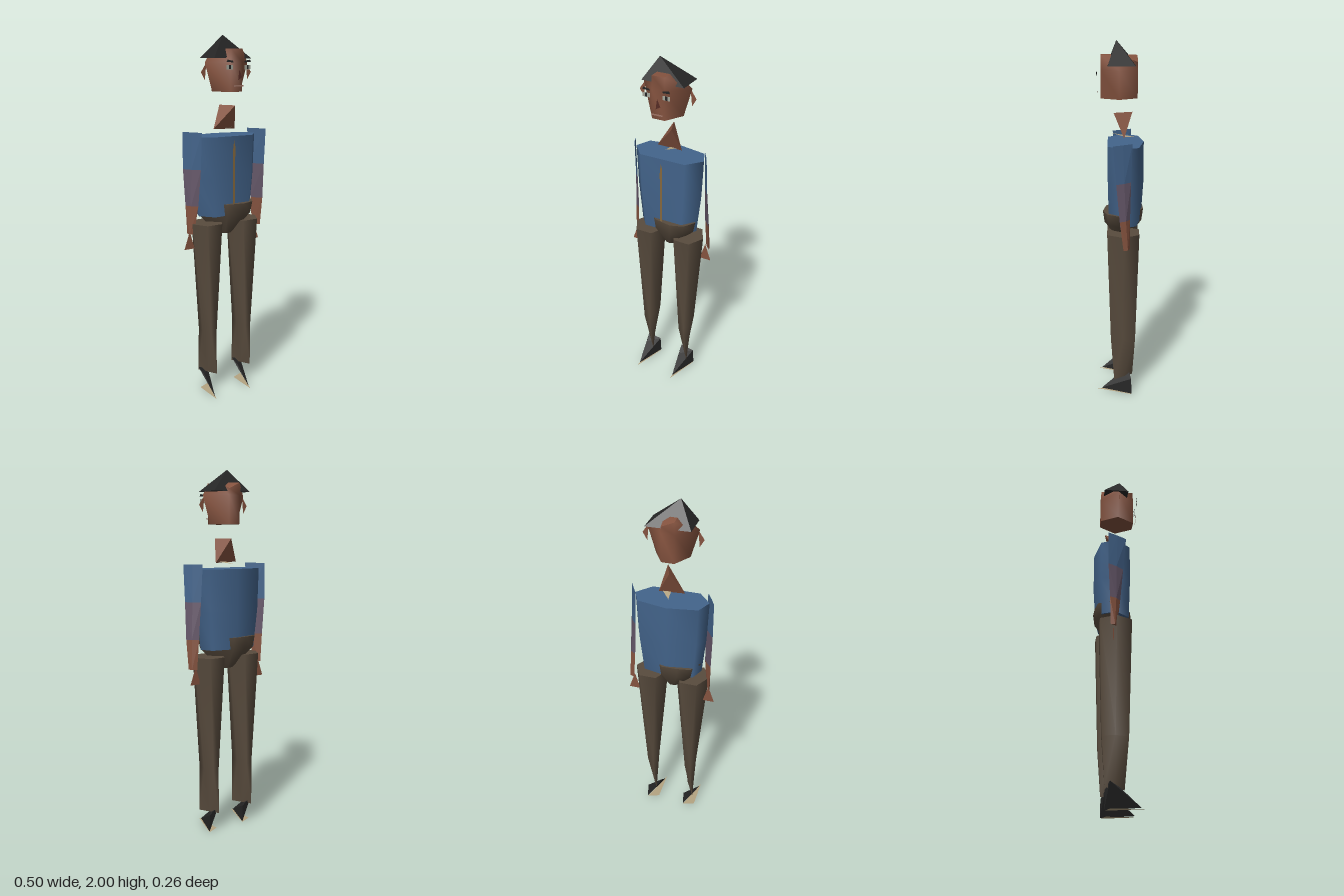
import * as THREE from 'three';
import { ConvexGeometry } from 'three/addons/geometries/ConvexGeometry.js';

const paint = (name, color) =>
  new THREE.MeshStandardMaterial({ name, color, side: THREE.DoubleSide });

export function createModel() {
  const model = new THREE.Group();
  const skin = paint('skin', 0x85533f);
  const shirt = paint('shirt blue', 0x43648b);
  const blend = paint('sleeve blend', 0x655769);
  const trousers = paint('trouser brown', 0x594c3e);
  const dark = paint('hair and shoe black', 0x262626);
  const cream = paint('sole cream', 0xb5a482);
  const tan = paint('placket tan', 0x85673c);
  const eyeGrey = paint('eye grey', 0xa4a79b);
  const noseRed = paint('nose shade', 0x552c24);
  const lip = paint('lip', 0xa07566);

  const add = (name, geometry, material, parent = model) => {
    const mesh = new THREE.Mesh(geometry, material);
    mesh.name = name;
    parent.add(mesh);
    return mesh;
  };
  const hull = pts => new ConvexGeometry(pts.map(p => new THREE.Vector3(...p)));

  // Triangles from points, with an index
  const surface = (points, index) => {
    const g = new THREE.BufferGeometry();
    g.setAttribute('position', new THREE.Float32BufferAttribute(points.flat(), 3));
    g.setIndex(index);
    g.computeVertexNormals();
    return g;
  };

  // Smooth-sided loft through rings of [x, y, z], listed bottom to top, with flat caps
  const loft = (name, rings, material) => {
    const group = new THREE.Group();
    group.name = name;
    const n = rings[0].length, index = [];
    for (let r = 0; r < rings.length - 1; r++) {
      for (let i = 0; i < n; i++) {
        const j = (i + 1) % n, a = r * n + i, b = r * n + j;
        index.push(a, a + n, b + n, a, b + n, b);
      }
    }
    add(name + 'Sides', surface(rings.flat(), index), material, group);
    const top = [], bottom = [];
    for (let i = 1; i < n - 1; i++) {
      top.push(0, i + 1, i);
      bottom.push(0, i, i + 1);
    }
    add(name + 'Top', surface(rings[rings.length - 1], top), material, group);
    add(name + 'Bottom', surface(rings[0], bottom), material, group);
    model.add(group);
  };

  // Thin flat plate facing the front
  const plate = (name, pts, z, material) => {
    const shape = new THREE.Shape(pts.map(p => new THREE.Vector2(...p)));
    const mesh = add(name, new THREE.ShapeGeometry(shape), material);
    mesh.position.z = z;
  };
  const rect = (x0, x1, y0, y1) => [[x0, y0], [x1, y0], [x1, y1], [x0, y1]];

  // Head: six-sided, narrow at front and back, with one back corner lower
  const headRing = (y, w, backRight = y, backLeft = y) => [
    [w, y, 0], [0.035, y, 0.097], [-0.035, y, 0.097],
    [-w, y, 0], [-0.035, backRight, -0.096], [0.033, backLeft, -0.096],
  ];
  loft('head', [headRing(1.71, 0.09), headRing(1.86, 0.135), headRing(1.93, 0.035, 1.925, 1.895)], skin);

  // Hair: lopsided pyramid
  add('hair', hull([
    [-0.114, 1.882, 0.06], [0.12, 1.88, 0.06], [0.12, 1.88, -0.083],
    [-0.114, 1.882, -0.083], [-0.034, 2, 0.015],
  ]), dark);

  // Face details
  for (const s of [-1, 1]) {
    const side = s > 0 ? 'left' : 'right';
    plate(side + 'Ear', [[s * 0.125, 1.86], [s * 0.159, 1.81], [s * 0.135, 1.77]], 0, skin);
    plate(side + 'Eye', rect(s * 0.055 - 0.02, s * 0.055 + 0.02, 1.825, 1.847), 0.116, eyeGrey);
    plate(side + 'Pupil', rect(s * 0.055 - 0.006, s * 0.055 + 0.006, 1.826, 1.847), 0.118, dark);
    plate(side + 'Brow', [
      [s * 0.034, 1.86], [s * 0.076, 1.862], [s * 0.07, 1.874], [s * 0.036, 1.868],
    ], 0.117, dark);
  }
  plate('nose', [[-0.004, 1.77], [0.022, 1.785], [0.004, 1.825]], 0.116, noseRed);
  plate('mouth', rect(-0.03, 0.032, 1.737, 1.745), 0.115, lip);

  // Neck: wedge with crossed edges
  add('neck', hull([
    [0.0, 1.635, -0.07], [0.037, 1.635, 0.03], [-0.07, 1.51, -0.02], [0.07, 1.505, -0.025],
  ]), skin);
  add('collar', surface([[0.01, 1.525, 0.045], [0.045, 1.51, -0.03], [0, 1.5, -0.085]], [0, 1, 2]), cream);

  // Torso
  const torsoPlan = [[0.2, -0.02], [0.13, 0.062], [-0.13, 0.062], [-0.2, -0.02],
    [-0.164, -0.104], [0, -0.132], [0.164, -0.1]];
  const torsoRing = (y, sx, sz) => torsoPlan.map(([x, z]) => [x * sx, y, z * sz]);
  loft('torso', [torsoRing(1.04, 0.84, 0.9), torsoRing(1.25, 0.95, 1), torsoRing(1.475, 1, 1)], shirt);
  plate('placket', [[-0.007, 1.1], [0.005, 1.1], [0.008, 1.42], [0, 1.455], [-0.007, 1.4]], 0.075, tan);

  // Pelvis: twisted bowl whose raised corners wrap over the shirt
  const pelvisPlan = [[0.17, 0.02], [0.13, 0.086], [0.06, 0.11], [-0.038, 0.092],
    [-0.168, -0.02], [-0.13, -0.096], [-0.06, -0.108], [0.025, -0.111]];
  const pelvisRing = (y, s) => pelvisPlan.map(([x, z]) => [x * s, y, z * s - 0.02]);
  loft('pelvis', [pelvisRing(0.925, 0.22), pelvisRing(1.04, 0.92), pelvisRing(1.105, 1)], trousers);

  // Legs: hexagonal thighs narrowing to a diagonal edge at the ankle
  const legRing = (cx, y, rx, rz) => Array.from({ length: 6 }, (_, i) => {
    const a = i * Math.PI / 3;
    return [cx + rx * Math.cos(a), y, -0.02 + rz * Math.sin(a)];
  });
  for (const s of [-1, 1]) {
    const side = s > 0 ? 'left' : 'right', cx = s * 0.117;
    const ankle = [1, 1, 0, -1, -1, 0].map(t => [cx + t * 0.03, 0.1, -0.022 + t * 0.053]);
    loft(side + 'Leg', [ankle, legRing(cx, 0.36, 0.034, 0.08), legRing(cx, 1, 0.093, 0.1)], trousers);

    // Shoe: slanted wedge over a thin pale sole
    const shoe = new THREE.Group();
    shoe.name = side + 'Shoe';
    shoe.position.x = cx;
    model.add(shoe);
    add('upper', hull([
      [-0.03, 0.006, 0.105], [0.032, 0.004, -0.07], [-0.036, 0.1, 0], [-0.045, 0.13, -0.05],
      [0.028, 0.1, -0.068],
    ]), dark, shoe);
    add('sole', surface([[-0.033, 0, 0.13], [0.032, 0, -0.07], [-0.035, 0, -0.045]], [0, 2, 1]), cream, shoe);
  }

  // Arms: slanted plates thickening outward toward the wrist;
  // rows are [y, back x, back z, front x, front z, thickness]
  const arms = {
    right: [[1.5, -0.235, -0.07, -0.178, 0.035, 0.002], [1.3, -0.235, -0.07, -0.175, 0.018, 0.005],
      [1.1, -0.228, -0.06, -0.182, 0, 0.009], [0.94, -0.222, -0.055, -0.2, -0.02, 0.01]],
    left: [[1.5, 0.184, -0.066, 0.24, 0.034, 0.002], [1.3, 0.192, -0.06, 0.242, 0.018, 0.005],
      [1.1, 0.203, -0.055, 0.248, 0, 0.009], [0.94, 0.215, -0.055, 0.247, -0.02, 0.01]],
  };
  const bands = [['Sleeve', shirt], ['Cuff', blend], ['Forearm', skin]];
  for (const [side, rows] of Object.entries(arms)) {
    const s = side === 'left' ? 1 : -1;
    bands.forEach(([name, material], k) => {
      const corners = [rows[k], rows[k + 1]].flatMap(([y, bx, bz, fx, fz, t]) => [
        [bx, y, bz], [fx, y, fz], [(bx + fx) / 2 + s * t, y, (bz + fz) / 2 - s * t * 0.6],
      ]);
      add(side + name, hull(corners), material);
    });
    plate(side + 'Hand', [[s * 0.215, 0.955], [s * 0.25, 0.855], [s * 0.185, 0.855]], -0.04, skin);
  }
  return model;
}
